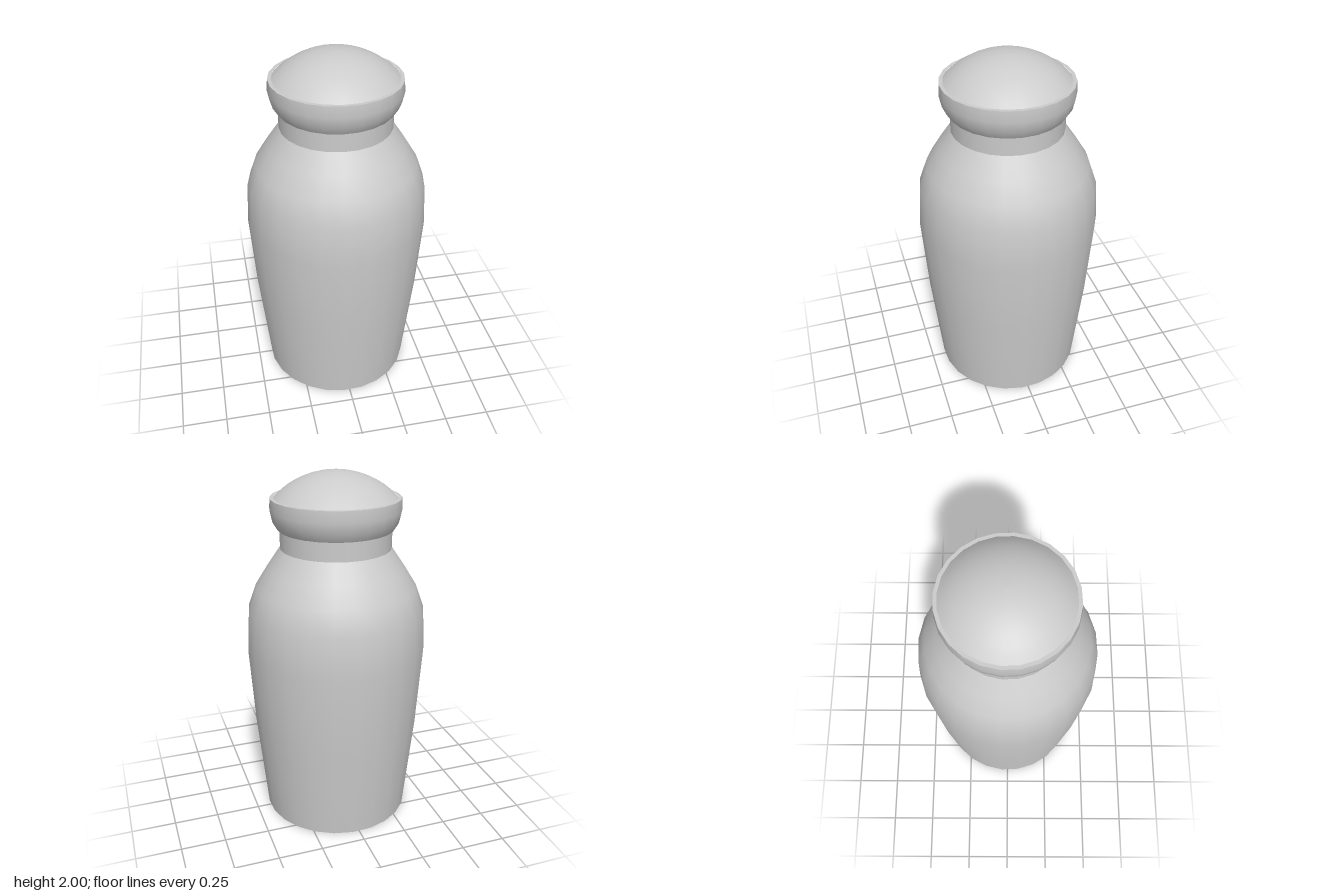
import * as THREE from 'three';

const SIDES = 24;
const TURN = THREE.MathUtils.degToRad(10);

export function createModel() {
  const group = new THREE.Group();
  const material = new THREE.MeshStandardMaterial({ color: 0xcccccc });

  // Each smooth band is its own lathe, so edges between bands stay sharp.
  // Profiles run from bottom to top as [radius, height].
  const band = (name, profile) => {
    const points = profile.map(([r, y]) => new THREE.Vector2(r, y));
    const mesh = new THREE.Mesh(new THREE.LatheGeometry(points, SIDES, TURN), material);
    mesh.name = name;
    group.add(mesh);
  };

  // Jar
  band('base', [[0, 0], [0.42, 0]]);
  band('body', [
    [0.42, 0], [0.476, 0.57], [0.505, 1.02], [0.49, 1.25],
    [0.445, 1.375], [0.38, 1.48], [0.305, 1.59],
  ]);
  band('neck', [[0.305, 1.59], [0.305, 1.71]]);

  // Stopper collar with a narrow flat rim
  band('collarUnderside', [[0.29, 1.695], [0.315, 1.695]]);
  band('collar', [[0.315, 1.695], [0.343, 1.74], [0.356, 1.80], [0.352, 1.862]]);
  band('collarRim', [[0.352, 1.862], [0.333, 1.862]]);

  // Domed top, an arc of a sphere
  const radius = 0.465, span = Math.asin(0.338 / radius), dome = [];
  for (let i = 8; i >= 0; i--) {
    const a = (span * i) / 8;
    dome.push([radius * Math.sin(a), 2 - radius * (1 - Math.cos(a))]);
  }
  band('dome', dome);

  return group;
}
